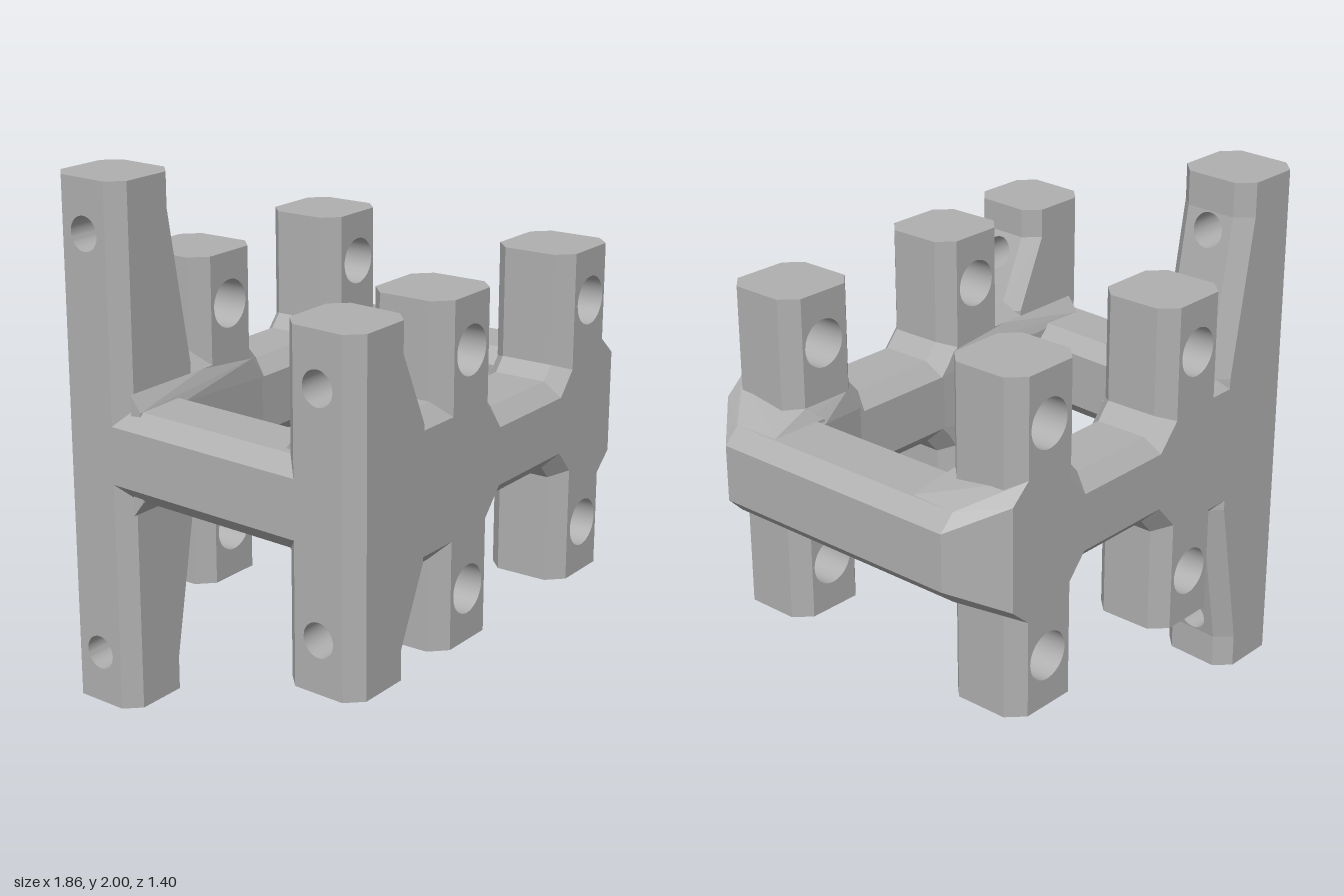
import * as THREE from 'three';
import { toCreasedNormals } from 'three/addons/utils/BufferGeometryUtils.js';
import { ConvexGeometry } from 'three/addons/geometries/ConvexGeometry.js';

const C = 0.06;        // chamfer on every long edge
const DEPTH = 0.33;    // thickness of the frames
const ZC = 0.535;      // z of the frame centres
const SKEW = -0.069;   // the left side leans back in plan

// Moves every vertex by a rule, then rebuilds the normals.
function reshape(geo, rule) {
  const p = geo.attributes.position, v = new THREE.Vector3();
  for (let i = 0; i < p.count; i++) {
    v.fromBufferAttribute(p, i);
    rule(v);
    p.setXYZ(i, v.x, v.y, v.z);
  }
  geo.computeVertexNormals();
  return toCreasedNormals(geo, 0.5);
}

// Chamfered slab centred on z: straight bores, flat ends at y = lo and hi.
function slab(points, depth, holes, lo, hi, rule = () => {}) {
  const shape = new THREE.Shape(points.map(([x, y]) => new THREE.Vector2(x, y)));
  for (const [x, y, r] of holes) {
    shape.holes.push(new THREE.Path().absarc(x, y, r, 0, Math.PI * 2, true));
  }
  const geo = new THREE.ExtrudeGeometry(shape, {
    depth: depth - 2 * C, bevelThickness: C, bevelSize: C, bevelSegments: 1, curveSegments: 20,
  });
  geo.translate(0, 0, C - depth / 2);
  return reshape(geo, (v) => {
    for (const [x, y, r] of holes) {
      const d = Math.hypot(v.x - x, v.y - y);
      if (d < r + 0.002 && d > 1e-6) {
        v.x = x + (v.x - x) * r / d;
        v.y = y + (v.y - y) * r / d;
      }
    }
    v.y = Math.min(hi, Math.max(lo, v.y));
    rule(v);
  });
}

// Octagonal bar running along z.
function bar(x0, x1, h, length, skew) {
  const pts = [[x0, -h + C], [x0 + C, -h], [x1 - C, -h], [x1, -h + C],
    [x1, h - C], [x1 - C, h], [x0 + C, h], [x0, h - C]];
  const shape = new THREE.Shape(pts.map(([x, y]) => new THREE.Vector2(x, y)));
  const geo = new THREE.ExtrudeGeometry(shape, { depth: length, bevelEnabled: false });
  geo.translate(0, 0, -length / 2);
  return reshape(geo, (v) => { v.x += skew * v.z; });
}

// Convex block mirrored above and below the middle plane.
function block(points, side) {
  const pts = [];
  for (const [x, y, z] of points) {
    pts.push(new THREE.Vector3(x, y, z * side), new THREE.Vector3(x, -y, z * side));
  }
  return new ConvexGeometry(pts);
}

export function createModel() {
  const grey = new THREE.MeshStandardMaterial({ color: 0xb0b0b0 });
  grey.name = 'plain grey';
  const model = new THREE.Group();
  model.name = 'bracketFrame';
  const body = new THREE.Group();
  body.name = 'body';
  body.position.y = 1;
  model.add(body);
  const add = (name, geo) => {
    const mesh = new THREE.Mesh(geo, grey);
    mesh.name = name;
    body.add(mesh);
    return mesh;
  };

  // Front and back frames: two bored posts joined by a bar
  const upper = [[-0.74, 0.23], [-0.36, 0.23], [-0.36, 0.65], [-0.14, 0.65], [-0.14, 0.21],
    [-0.05, 0.11], [0.38, 0.11], [0.46, 0.2], [0.46, 0.65], [0.68, 0.65]];
  const outline = [...upper, ...upper.map(([x, y]) => [x, -y]).reverse()].reverse();
  const bores = [];
  for (const x of [-0.25, 0.575]) for (const y of [-0.445, 0.445]) bores.push([x, y, 0.093]);
  for (const [name, s] of [['frontFrame', 1], ['backFrame', -1]]) {
    add(name, slab(outline, DEPTH, bores, -0.645, 0.645)).position.z = s * ZC;
  }

  // Left posts: stacked sections whose inner face flares towards the middle
  const XO = -0.888, W = 0.327;
  const posts = [
    { name: 'frontLeftPost', z: ZC, top: 0.645, bend: 0.53, root: 0.25, flare: 0.13, hole: 0.445 },
    { name: 'backLeftPost', z: -ZC, top: 1, bend: 0.87, root: 0.27, flare: 0.11, hole: 0.8 },
  ];
  for (const p of posts) {
    const half = DEPTH / 2 - C;
    const inner = (y) => p.flare * THREE.MathUtils.clamp((p.bend - Math.abs(y)) / (p.bend - p.root), 0, 1);
    const levels = [-p.top, -p.bend, -p.root, p.root, p.bend, p.top];
    for (let i = 0; i < 5; i++) {
      const lo = levels[i], hi = levels[i + 1];
      const holes = i === 1 ? [[0, -p.hole, 0.065]] : i === 3 ? [[0, p.hole, 0.065]] : [];
      const rect = [[-half, lo], [half, lo], [half, hi], [-half, hi]];
      add(p.name, slab(rect, W, holes, lo, hi, (v) => {
        const z = p.z - v.x;
        const x = XO + W / 2 + v.z + (v.z > 0 ? inner(v.y) : 0);
        v.set(x + SKEW * z, v.y, z);
      }));
    }
  }

  // Side bars
  add('leftBar', bar(XO, XO + W, 0.17, 0.9, SKEW));
  add('rightBar', bar(0.595, 0.93, 0.17, 1.06, 0));

  for (const s of [1, -1]) {
    // Bevelled right corners
    add('rightCorner', block([
      [0.66, 0.2, 0.7], [0.68, 0.27, 0.7], [0.76, 0.2, 0.7], [0.74, 0.21, 0.64], [0.74, 0.21, 0.43],
      [0.87, 0.17, 0.53], [0.93, 0.11, 0.53], [0.93, 0.11, 0.34], [0.86, 0.17, 0.34],
      [0.62, 0.17, 0.335], [0.6, 0.11, 0.335], [0.68, 0.22, 0.37],
    ], s));
    // Inner webs easing the bars into the frames
    add('rightWeb', block([
      [0.4, 0.13, 0.37], [0.47, 0.22, 0.37], [0.68, 0.22, 0.37], [0.62, 0.15, 0.33],
      [0.85, 0.17, 0.34], [0.5, 0.15, 0.45],
    ], s));
    add('leftWeb', block([
      [-0.06, 0.11, 0.37], [-0.12, 0.2, 0.37], [-0.42, 0.23, 0.37], [-0.82, 0.23, 0.37],
      [-0.57, 0.15, 0.33], [-0.82, 0.17, 0.325], [-0.5, 0.15, 0.45],
    ], s));
  }
  return model;
}
